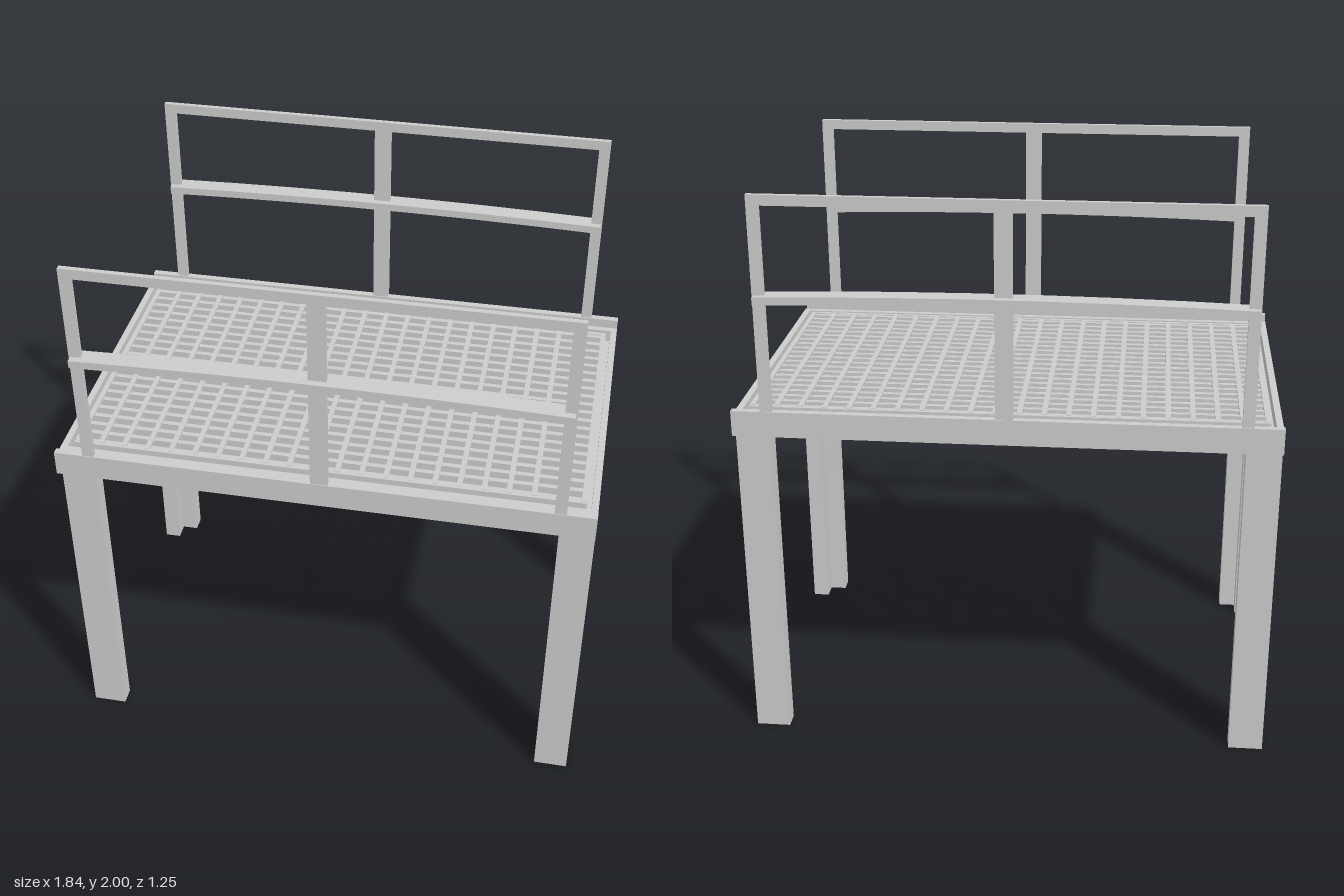
import * as THREE from 'three';

const steel = new THREE.MeshStandardMaterial({ color: 0xcccccc, flatShading: true });

// Box given by its min and max corners
function box(parent, name, x0, x1, y0, y1, z0, z1) {
  const mesh = new THREE.Mesh(new THREE.BoxGeometry(x1 - x0, y1 - y0, z1 - z0), steel);
  mesh.name = name;
  mesh.position.set((x0 + x1) / 2, (y0 + y1) / 2, (z0 + z1) / 2);
  parent.add(mesh);
  return mesh;
}

function rectPath(path, x0, x1, y0, y1) {
  path.moveTo(x0, y0);
  path.lineTo(x1, y0);
  path.lineTo(x1, y1);
  path.lineTo(x0, y1);
  path.closePath();
  return path;
}

// Horizontal rectangular ring between two heights
function ring(parent, name, outX, outZ, inX, inZ, y0, y1) {
  const shape = rectPath(new THREE.Shape(), -outX, outX, -outZ, outZ);
  shape.holes.push(rectPath(new THREE.Path(), -inX, inX, -inZ, inZ));
  const geo = new THREE.ExtrudeGeometry(shape, { depth: y1 - y0, bevelEnabled: false });
  geo.rotateX(-Math.PI / 2);
  geo.translate(0, y0, 0);
  const mesh = new THREE.Mesh(geo, steel);
  mesh.name = name;
  parent.add(mesh);
}

// L-section leg, open towards the middle of the platform
function leg(sx, sz) {
  const pts = [[0.92, 0.555], [0.80, 0.555], [0.80, 0.495], [0.86, 0.495], [0.86, 0.43], [0.92, 0.43]];
  const shape = new THREE.Shape(pts.map(([x, z]) => new THREE.Vector2(x * sx, -z * sz)));
  const geo = new THREE.ExtrudeGeometry(shape, { depth: 1.175, bevelEnabled: false });
  geo.rotateX(-Math.PI / 2);
  const mesh = new THREE.Mesh(geo, steel);
  mesh.name = (sz > 0 ? 'front' : 'back') + (sx > 0 ? 'Left' : 'Right') + 'Leg';
  return mesh;
}

// Open bar grating with bearing bars and cross bars
function grating() {
  const g = new THREE.Group();
  g.name = 'grating';
  ring(g, 'gratingBorder', 0.88, 0.51, 0.865, 0.495, 1.195, 1.243);
  for (let i = 0; i < 21; i++) {
    const z = (i - 10) * 0.0486;
    box(g, 'bearingBar', -0.87, 0.87, 1.2, 1.24, z - 0.009, z + 0.009);
  }
  for (let i = 0; i < 22; i++) {
    const x = (i - 10.5) * 0.083;
    box(g, 'crossBar', x - 0.009, x + 0.009, 1.215, 1.245, -0.5, 0.5);
  }
  return g;
}

// Guard rail: flat frame, kick plate and a slightly arched middle rail
function guardRail(name, sz) {
  const g = new THREE.Group();
  g.name = name;
  const shape = rectPath(new THREE.Shape(), -0.82, 0.82, 1.17, 2.0);
  for (const [a, b] of [[-0.78, -0.03], [0.03, 0.78]]) {
    shape.holes.push(rectPath(new THREE.Path(), a, b, 1.25, 1.965));
  }
  const frame = new THREE.Mesh(new THREE.ExtrudeGeometry(shape, { depth: 0.018, bevelEnabled: false }), steel);
  frame.name = 'railFrame';
  frame.position.z = sz * 0.59 - 0.009;
  g.add(frame);

  box(g, 'kickPlate', -0.92, 0.92, 1.17, 1.26, sz * 0.589 - 0.0125, sz * 0.589 + 0.0125);

  const geo = new THREE.BoxGeometry(1.63, 0.027, 0.066, 7, 1, 1);
  const pos = geo.attributes.position;
  for (let i = 0; i < pos.count; i++) {
    const t = pos.getX(i) / 0.815;
    pos.setY(i, pos.getY(i) + 0.014 * (1 - t * t));
  }
  geo.computeVertexNormals();
  const mid = new THREE.Mesh(geo, steel);
  mid.name = 'middleRail';
  mid.position.set(0, 1.654, sz * 0.59);
  g.add(mid);
  return g;
}

export function createModel() {
  const model = new THREE.Group();
  model.name = 'platform';

  // Legs
  for (const sx of [-1, 1]) for (const sz of [-1, 1]) model.add(leg(sx, sz));

  // Deck frame: upright edge with a ledge that carries the grating
  ring(model, 'deckEdge', 0.92, 0.555, 0.897, 0.532, 1.17, 1.24);
  ring(model, 'deckLedge', 0.9, 0.535, 0.865, 0.5, 1.17, 1.195);
  model.add(grating());

  // Rails
  model.add(guardRail('frontRail', 1), guardRail('backRail', -1));
  return model;
}
